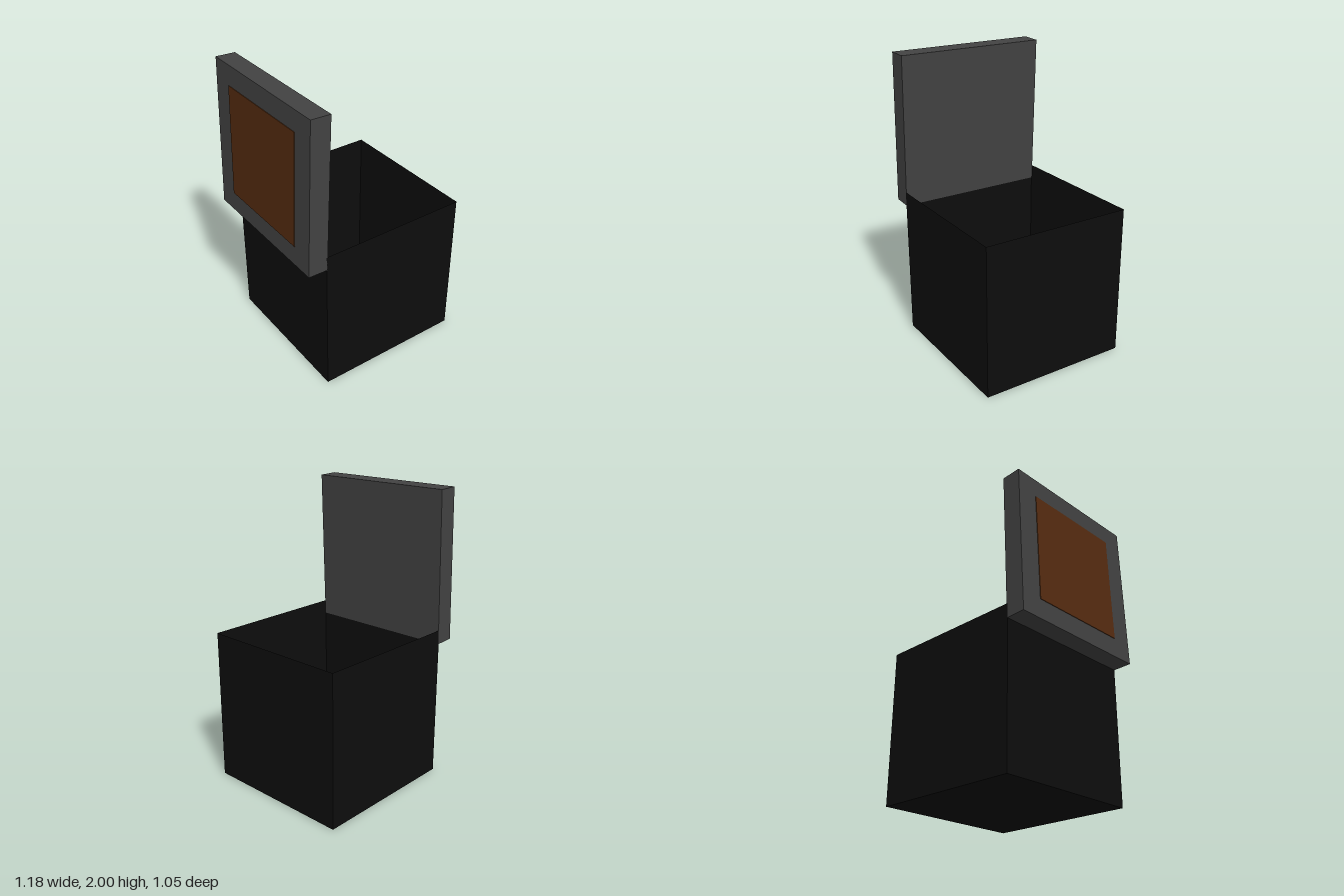
import * as THREE from 'three';

export function createModel() {
  const black = new THREE.MeshStandardMaterial({ color: 0x0d0d0d, side: THREE.DoubleSide });
  black.name = 'black';
  const grey = new THREE.MeshStandardMaterial({ color: 0x424242 });
  grey.name = 'grey';
  const brown = new THREE.MeshStandardMaterial({ color: 0x562c10 });
  brown.name = 'brown';

  const model = new THREE.Group();
  model.name = 'openBox';
  const add = (parent, name, geometry, material, x, y, z) => {
    const mesh = new THREE.Mesh(geometry, material);
    mesh.name = name;
    mesh.position.set(x, y, z);
    parent.add(mesh);
  };

  // Thin-walled container: a cube whose top face (third of six) is left out
  const container = new THREE.BoxGeometry(1.05, 1.05, 1.05);
  const faces = Array.from(container.index.array);
  faces.splice(12, 6);
  container.setIndex(faces);
  container.clearGroups();
  add(model, 'container', container, black, 0.065, 0.525, 0);

  // Raised lid, leaning slightly inwards over the container's edge
  const lid = new THREE.Group();
  lid.name = 'lid';
  lid.position.set(-0.505, 1.476, 0);
  lid.rotation.z = -0.034;
  model.add(lid);
  add(lid, 'lidSlab', new THREE.BoxGeometry(0.135, 1.043, 1.05), grey, 0, 0, 0);

  // Coloured panel on the lid's outer face
  add(lid, 'lidPanel', new THREE.BoxGeometry(0.006, 0.77, 0.74), brown, -0.0685, 0, 0);

  return model;
}
